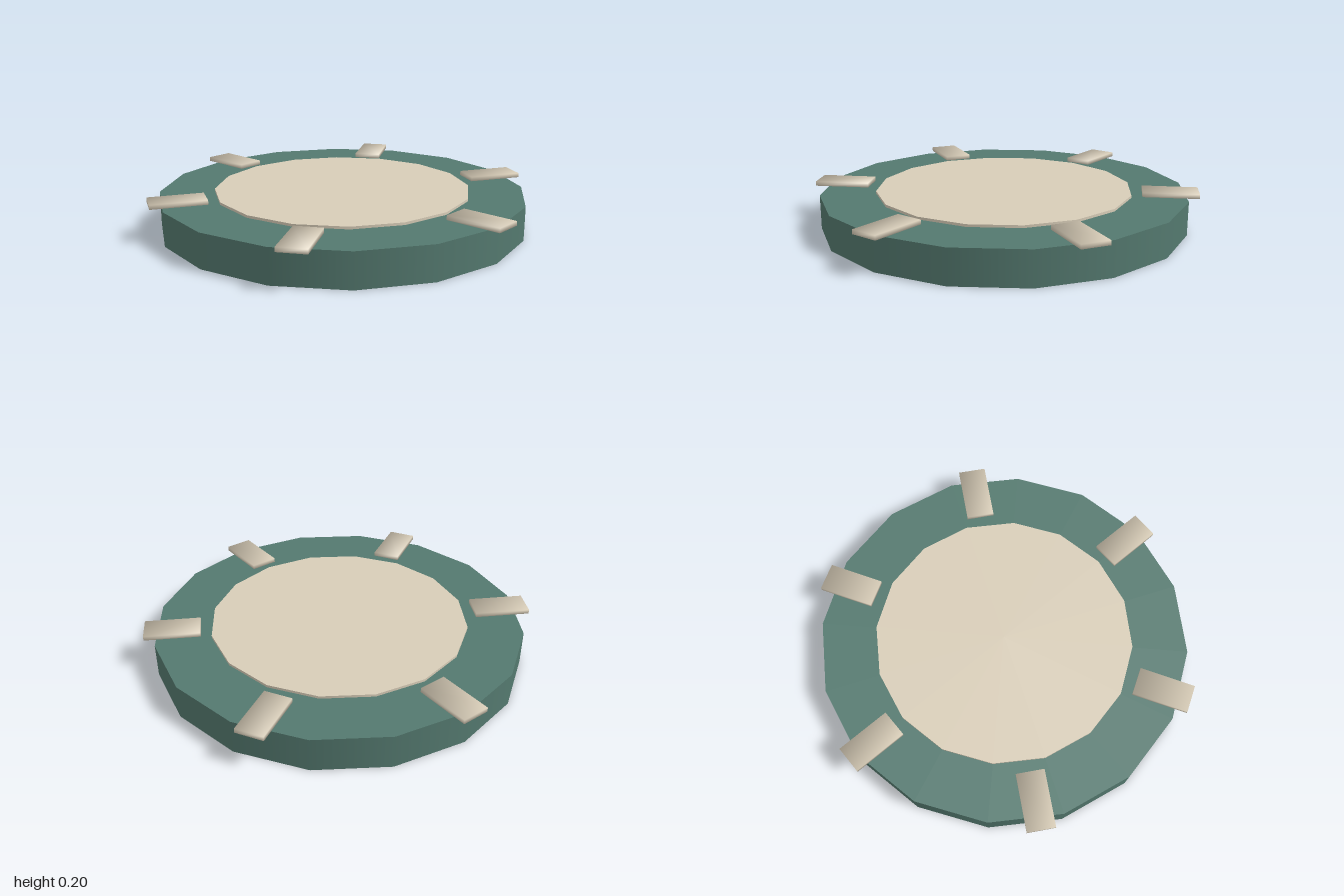
import * as THREE from 'three';

const SIDES = 16;

// 16-sided disc standing on y = bottom, smooth around the rim
function disc(name, radius, bottom, top, material) {
  const mesh = new THREE.Mesh(new THREE.CylinderGeometry(radius, radius, top - bottom, SIDES), material);
  mesh.name = name;
  mesh.position.y = (bottom + top) / 2;
  return mesh;
}

// Flat bar whose corner normals point diagonally outwards for a soft, pillowed shading
function softBar(length, height, width) {
  const geometry = new THREE.BoxGeometry(length, height, width);
  const p = geometry.attributes.position;
  const n = new THREE.Vector3();
  for (let i = 0; i < p.count; i++) {
    n.set(Math.sign(p.getX(i)), Math.sign(p.getY(i)), Math.sign(p.getZ(i))).normalize();
    geometry.attributes.normal.setXYZ(i, n.x, n.y, n.z);
  }
  return geometry;
}

export function createModel() {
  const green = new THREE.MeshStandardMaterial({ color: 0x54796f });
  const cream = new THREE.MeshStandardMaterial({ color: 0xd8cdb8 });
  const model = new THREE.Group();
  model.name = 'disc';

  // Main body and the thin raised inlay
  model.add(disc('base', 0.95, 0, 0.175, green));
  model.add(disc('inlay', 0.665, 0.17, 0.188, cream));

  // Six radial bars overhanging the rim
  const bar = softBar(0.285, 0.023, 0.143);
  for (let i = 0; i < 6; i++) {
    const angle = (i * Math.PI) / 3;
    const mesh = new THREE.Mesh(bar, cream);
    mesh.name = 'rimBar' + (i + 1);
    mesh.position.set(0.8575 * Math.cos(angle), 0.1885, 0.8575 * Math.sin(angle));
    mesh.rotation.y = -angle;
    model.add(mesh);
  }
  return model;
}
